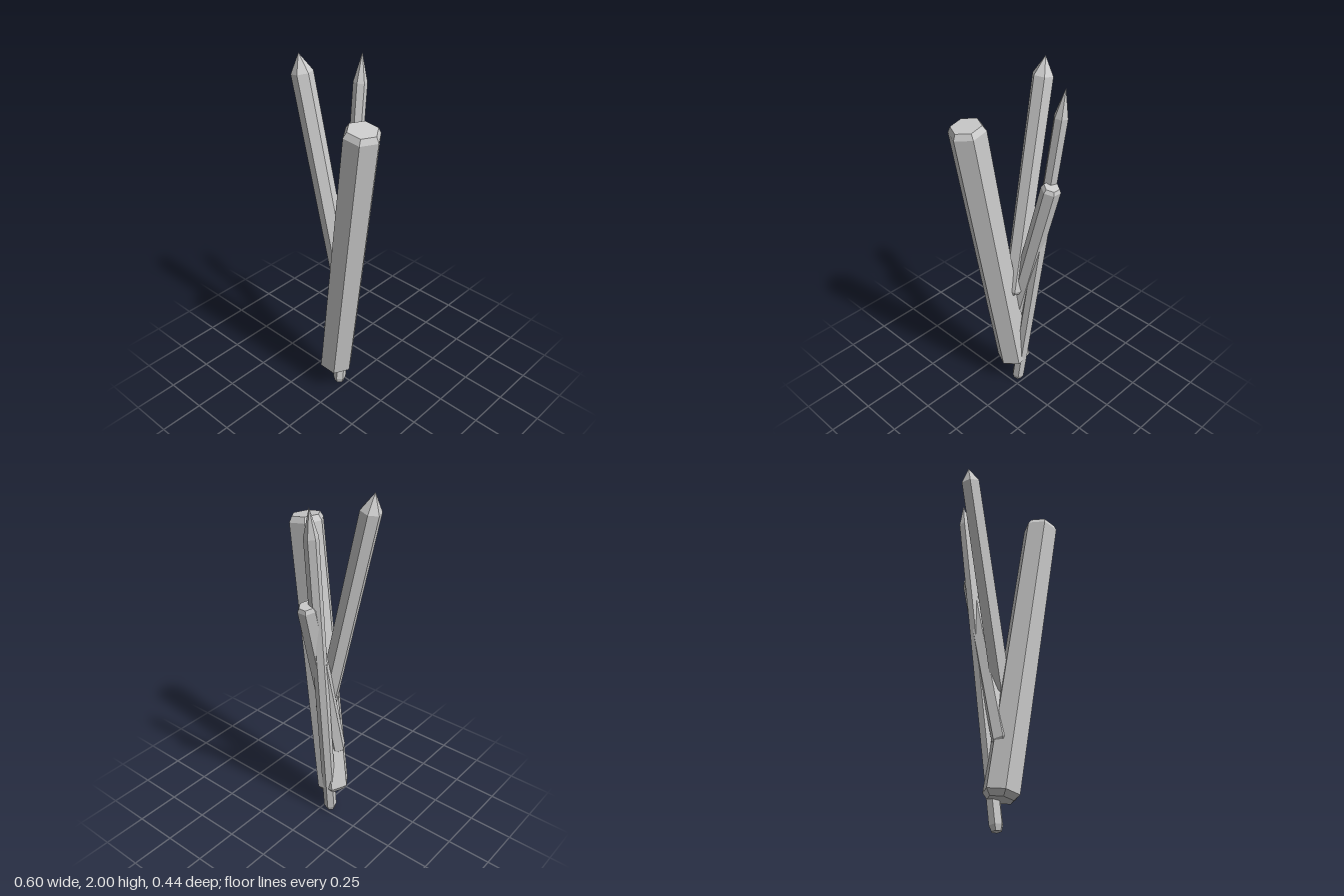
import * as THREE from 'three';

const material = new THREE.MeshStandardMaterial({ color: 0xcccccc, flatShading: true });
const UP = new THREE.Vector3(0, 1, 0);

// Six-sided shard between two end points; tip is the length of its upper taper
function crystal({ name, from, to, radius, bevel, tip, tipRadius, turn }) {
  const start = new THREE.Vector3(...from);
  const axis = new THREE.Vector3(...to).sub(start);
  const length = axis.length();
  const profile = [
    [0, 0],
    [radius * 0.72, 0],
    [radius, bevel],
    [radius, length - tip],
    [tipRadius, length],
  ];
  if (tipRadius > 0) profile.push([0, length]);
  const geometry = new THREE.LatheGeometry(
    profile.map(([r, y]) => new THREE.Vector2(r, y)), 6, THREE.MathUtils.degToRad(turn),
  ).toNonIndexed();
  geometry.computeVertexNormals();
  const mesh = new THREE.Mesh(geometry, material);
  mesh.name = name;
  mesh.position.copy(start);
  mesh.quaternion.setFromUnitVectors(UP, axis.normalize());
  return mesh;
}

export function createModel() {
  const group = new THREE.Group();
  group.name = 'crystalCluster';
  const shards = [
    // Thick blunt shard leaning to the left
    { name: 'largeBluntCrystal', from: [-0.045, 0.15, 0.07], to: [0.205, 1.77, 0.134],
      radius: 0.096, bevel: 0.03, tip: 0.03, tipRadius: 0.079, turn: 35 },
    // Pointed shard leaning to the right
    { name: 'rightPointedCrystal', from: [-0.005, 0.7, 0.036], to: [-0.268, 2.0, 0.07],
      radius: 0.056, bevel: 0.025, tip: 0.095, tipRadius: 0, turn: 20 },
    // Slim pointed shard leaning back, its foot reaching the ground
    { name: 'slimPointedCrystal', from: [-0.046, 0.004, 0.042], to: [-0.106, 1.97, -0.207],
      radius: 0.037, bevel: 0.03, tip: 0.15, tipRadius: 0, turn: 15 },
    // Short blunt shard at the back
    { name: 'backBluntCrystal', from: [-0.05, 0.42, 0.093], to: [-0.062, 1.455, -0.178],
      radius: 0.052, bevel: 0.02, tip: 0.02, tipRadius: 0.041, turn: 30 },
  ];
  for (const shard of shards) group.add(crystal(shard));
  return group;
}
